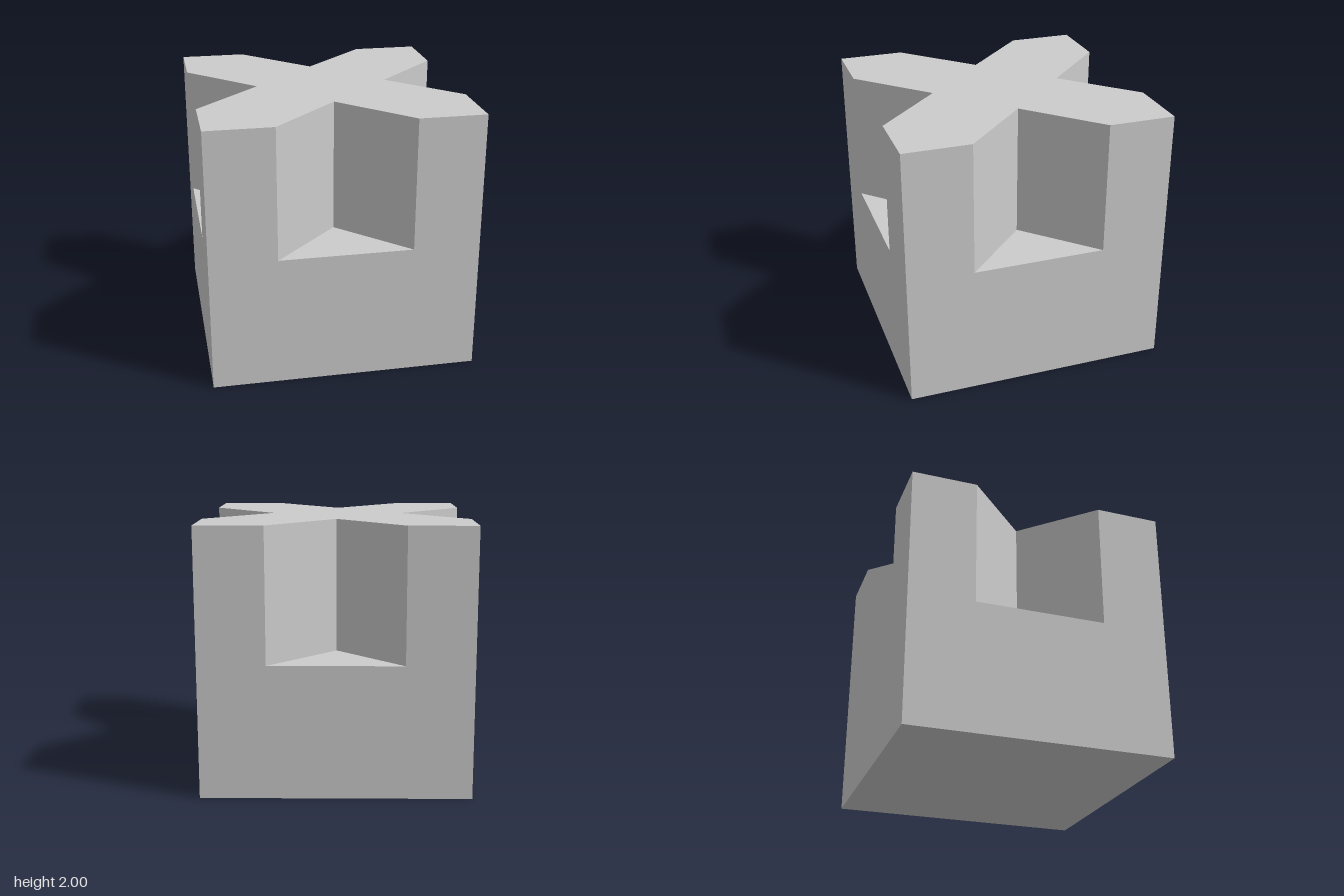
import * as THREE from 'three';

export function createModel() {
  const model = new THREE.Group();
  model.name = 'notchedCube';
  const material = new THREE.MeshStandardMaterial({ color: 0xcccccc, flatShading: true });

  const add = (name, geometry, y) => {
    const mesh = new THREE.Mesh(geometry, material);
    mesh.name = name;
    mesh.position.y = y;
    model.add(mesh);
  };

  // Solid lower half
  add('base', new THREE.BoxGeometry(2, 1, 2), 0.5);

  // Upper half: a square with a V notch in each side, one quarter repeated four times
  const outline = [];
  let quarter = [[0.5, 1], [1, 1], [1, 0.5], [0.5, 0]];
  for (let i = 0; i < 4; i++) {
    outline.push(...quarter.map(([x, y]) => new THREE.Vector2(x, y)));
    quarter = quarter.map(([x, y]) => [y, -x]);
  }
  const cross = new THREE.ExtrudeGeometry(new THREE.Shape(outline), { depth: 1, bevelEnabled: false });
  cross.rotateX(-Math.PI / 2);
  add('notchedTop', cross, 1);

  return model;
}
